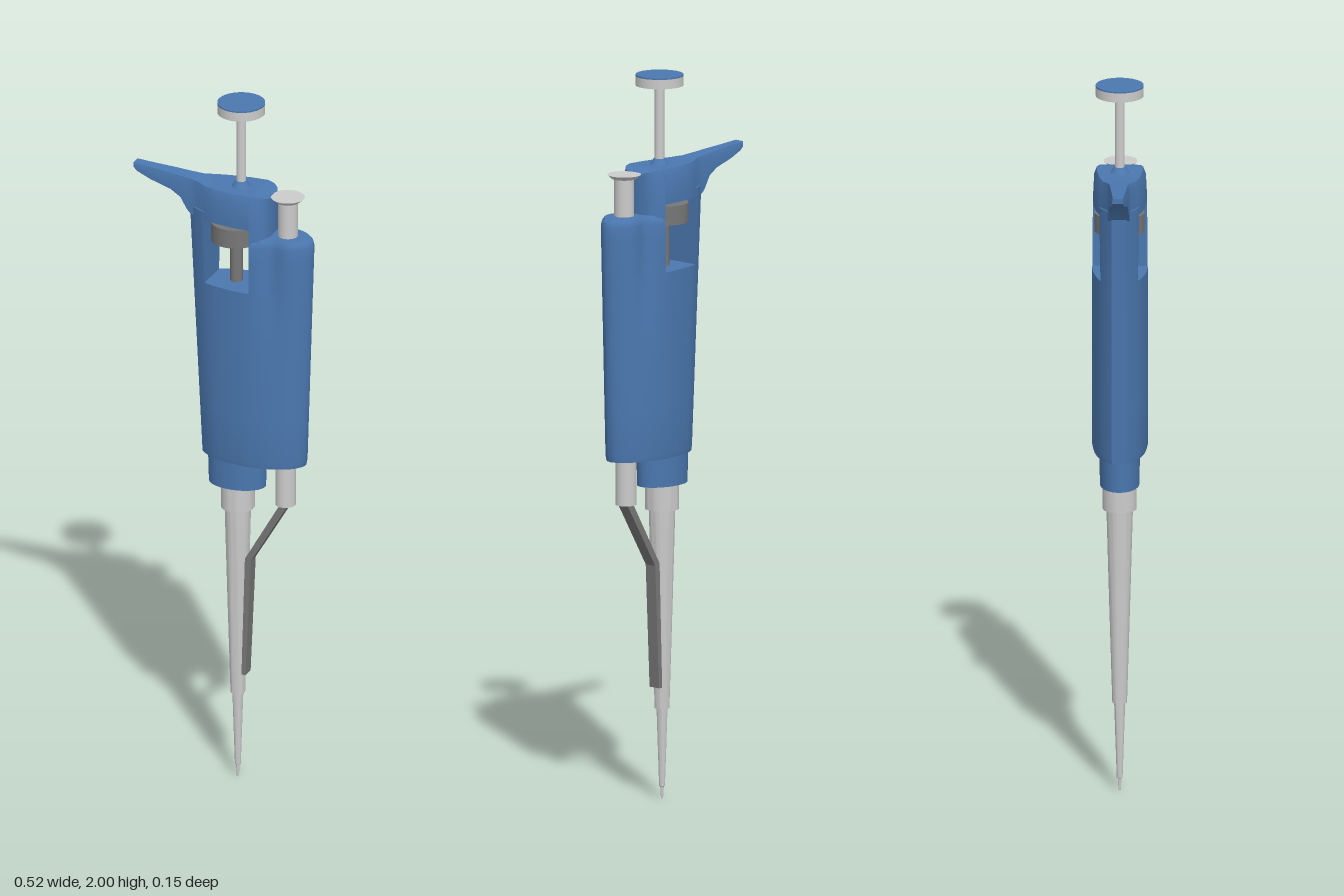
import * as THREE from 'three';
import { toCreasedNormals } from 'three/addons/utils/BufferGeometryUtils.js';

const material = (color) => new THREE.MeshStandardMaterial({ color });
const lerp = THREE.MathUtils.lerp;

// Piecewise-linear lookup in a list of [position, value]
function lookup(table, t) {
  for (let i = 1; i < table.length; i++) {
    const [t0, v0] = table[i - 1], [t1, v1] = table[i];
    if (t <= t1) return lerp(v0, v1, Math.max(0, (t - t0) / (t1 - t0)));
  }
  return table[table.length - 1][1];
}

// Skin through closed rings of equal point count, with fan caps
function loft(rings) {
  const n = rings[0].length, pos = [], index = [];
  rings.forEach((ring) => ring.forEach((p) => pos.push(...p)));
  for (let i = 0; i < rings.length - 1; i++) {
    for (let j = 0; j < n; j++) {
      const k = (j + 1) % n, a = i * n + j, b = i * n + k;
      index.push(a, b, b + n, a, b + n, a + n);
    }
  }
  for (const [r, flip] of [[0, true], [rings.length - 1, false]]) {
    const c = pos.length / 3;
    for (let d = 0; d < 3; d++) pos.push(rings[r].reduce((s, p) => s + p[d], 0) / n);
    for (let j = 0; j < n; j++) {
      const a = r * n + j, b = r * n + ((j + 1) % n);
      index.push(c, flip ? b : a, flip ? a : b);
    }
  }
  const g = new THREE.BufferGeometry();
  g.setAttribute('position', new THREE.Float32BufferAttribute(pos, 3));
  g.setIndex(index);
  return toCreasedNormals(g, 0.6);
}

// Outline of the handle: its back and front edges, and its half thickness
const leftEdge = (y) => lerp(-0.058, -0.09, (y - 0.97) / 0.63);
const rightEdge = (y) => lerp(0.24, 0.26, (y - 0.97) / 0.61);
const THICKNESS = [[0, 0.02], [0.05, 0.034], [0.12, 0.049], [0.2, 0.06], [0.35, 0.071], [0.5, 0.076],
  [0.65, 0.072], [0.75, 0.065], [0.84, 0.055], [0.91, 0.043], [0.96, 0.029], [0.99, 0.014], [1, 0.004]];

function halfThickness(x, y) {
  const u = (x - leftEdge(y)) / (rightEdge(y) - leftEdge(y));
  // Shallow scoop beside the ejector housing, fading downwards
  const scoop = 0.25 * THREE.MathUtils.smoothstep(y, 1.2, 1.62) * Math.exp(-(((x - 0.16) / 0.03) ** 2));
  return lookup(THICKNESS, u) * (1 - scoop);
}

// Upright slice of the handle between two edges; shrink(y) rounds its ends
function handleBlock(ys, from, to, shrink = () => 1, steps = 28) {
  return loft(ys.map((y) => {
    const front = [], back = [];
    const a = from(y), b = to(y), s = shrink(y);
    for (let i = 0; i <= steps; i++) {
      const t = 0.5 - 0.5 * Math.cos((Math.PI * i) / steps);
      const x = lerp(a, b, t), w = halfThickness(x, y) * s;
      const px = x > 0.18 ? 0.18 + (x - 0.18) * s : x;
      front.push([px, y, w]);
      back.unshift([px, y, -w]);
    }
    return [...front, ...back];
  }));
}

export function createModel() {
  const group = new THREE.Group();
  const blue = material(0x4b78b0), grey = material(0xcccccc), dark = material(0x777777);
  const add = (name, geometry, mat, x = 0, y = 0) => {
    const mesh = new THREE.Mesh(geometry, mat);
    mesh.name = name;
    mesh.position.set(x, y, 0);
    group.add(mesh);
    return mesh;
  };
  // Round part between two heights
  const round = (name, mat, x, y0, y1, r0, r1 = r0) =>
    add(name, new THREE.CylinderGeometry(r1, r0, y1 - y0, 40), mat, x, (y0 + y1) / 2);

  const axis = 0.04, ejectorX = 0.182;
  const windowLeft = -0.038, windowRight = 0.1;

  // Handle: solid grip, then the two walls beside the open window
  const gripYs = [0.955, 0.97, 1.1, 1.2, 1.28, 1.35, 1.41, 1.47];
  add('grip', handleBlock(gripYs, leftEdge, rightEdge, (y) => (y < 0.96 ? 0.96 : 1)), blue);
  add('windowRearWall', handleBlock([1.47, 1.55, 1.62, 1.68], leftEdge, () => windowLeft), blue);
  add('ejectorHousing', handleBlock([1.47, 1.52, 1.57, 1.605, 1.62, 1.628], () => windowRight, rightEdge,
    (y) => lookup([[1.605, 1], [1.62, 0.95], [1.628, 0.85]], y)), blue);

  // Top bridge and finger hook: [x, bottom, top, half thickness]
  const bridge = [
    [-0.262, 1.76, 1.774, 0.015], [-0.25, 1.75, 1.773, 0.016], [-0.21, 1.734, 1.769, 0.019],
    [-0.15, 1.718, 1.764, 0.024], [-0.12, 1.7, 1.761, 0.026], [-0.1, 1.668, 1.759, 0.028],
    [-0.088, 1.656, 1.758, 0.029], [-0.07, 1.656, 1.756, 0.032], [-0.04, 1.656, 1.753, 0.051],
    [0, 1.656, 1.752, 0.063], [0.05, 1.656, 1.752, 0.071], [0.099, 1.656, 1.752, 0.073],
    [0.1, 1.6, 1.752, 0.073], [0.122, 1.6, 1.75, 0.064], [0.136, 1.6, 1.745, 0.05], [0.144, 1.6, 1.74, 0.028],
  ];
  add('bridgeAndFingerHook', loft(bridge.map(([x, lo, hi, w]) => {
    const bevel = (hi - lo) * 0.2;
    const side = [[hi, w * 0.86], [hi - bevel, w * 0.96], [lo + bevel, w], [lo, w]];
    return [...side.map(([y, z]) => [x, y, z]), ...side.reverse().map(([y, z]) => [x, y, -z])];
  })), blue);

  // Plunger
  round('plungerRod', grey, 0.048, 1.74, 1.97, 0.013);
  round('plungerCollar', blue, 0.048, 1.745, 1.768, 0.03, 0.016);
  round('plungerButton', grey, 0.048, 1.97, 1.996, 0.065);
  round('plungerButtonCap', blue, 0.048, 1.996, 2, 0.065);

  // Adjusting wheel and spindle in the window
  round('adjustingWheel', dark, 0.032, 1.592, 1.645, 0.068);
  round('spindle', dark, 0.034, 1.46, 1.6, 0.017);

  // Ejector button and its lower sleeve
  round('ejectorStem', grey, ejectorX + 0.003, 1.6, 1.735, 0.027);
  round('ejectorButton', grey, ejectorX + 0.003, 1.731, 1.742, 0.034, 0.046);
  round('ejectorSleeve', grey, ejectorX - 0.004, 0.83, 0.98, 0.028);

  // Bent ejector arm reaching down along the shaft
  const arm = new THREE.Shape([[0.17, 0.835], [0.066, 0.655], [0.056, 0.31], [0.068, 0.31],
    [0.083, 0.65], [0.193, 0.835]].map(([x, y]) => new THREE.Vector2(x, y)));
  const armGeometry = new THREE.ExtrudeGeometry(arm, { depth: 0.036, bevelEnabled: false });
  add('ejectorArm', armGeometry.translate(0, 0, -0.018), dark);

  // Oval neck under the grip
  round('neck', blue, 0.037, 0.87, 0.975, 0.081, 0.084).scale.z = 0.66;

  // Shaft and tip turned in one profile
  const profile = [[0, 0.875], [0.046, 0.875], [0.046, 0.8], [0.036, 0.8], [0.029, 0.55], [0.02, 0.25],
    [0.015, 0.25], [0.008, 0.035], [0.005, 0.033], [0.003, 0], [0, 0]];
  const shaft = new THREE.LatheGeometry(profile.reverse().map(([r, y]) => new THREE.Vector2(r, y)), 40);
  add('shaftAndTip', toCreasedNormals(shaft, 0.6), grey, axis - 0.002);

  return group;
}
